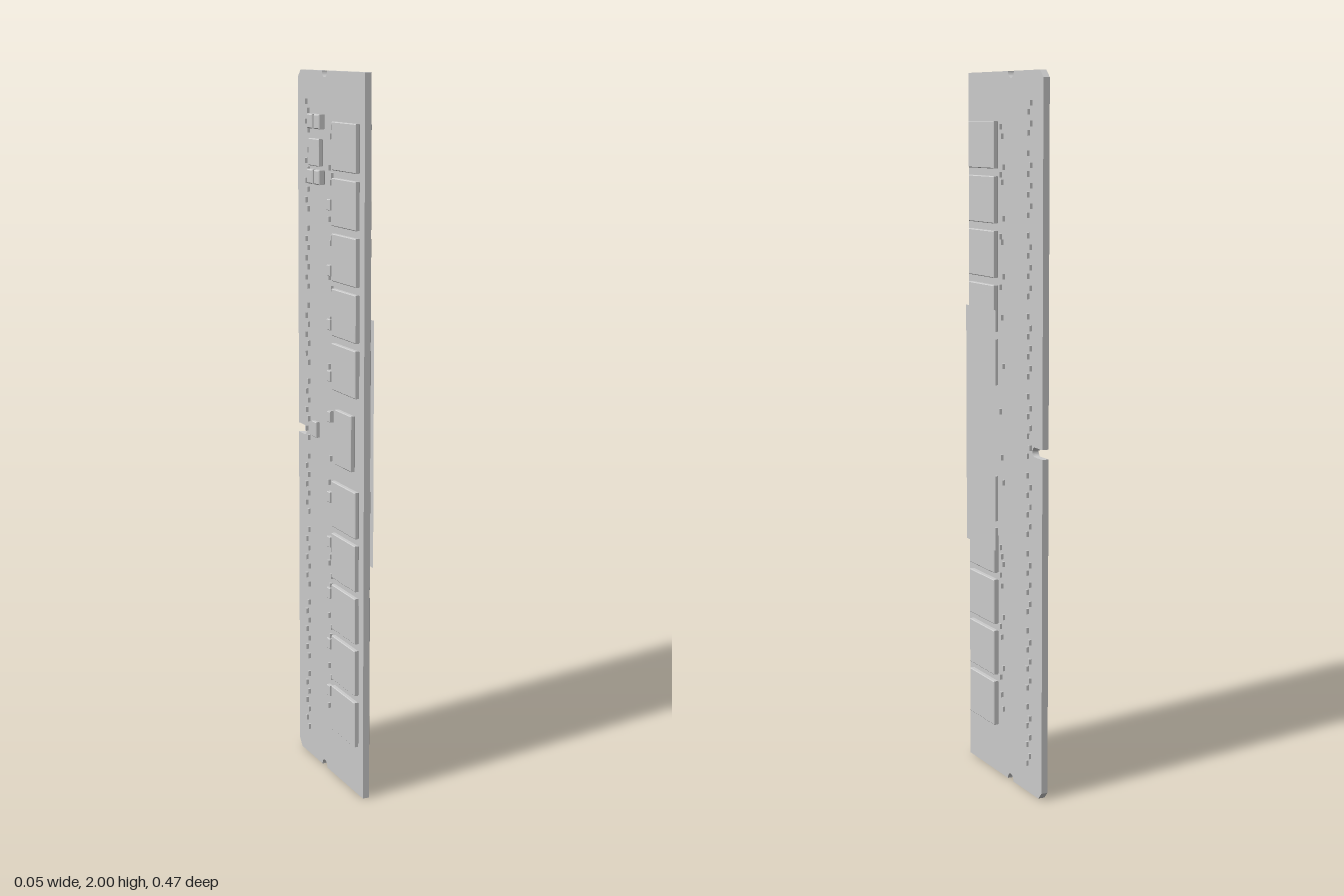
import * as THREE from 'three';

const FACE = { 1: 0.0107, '-1': -0.008 }; // x of the two board faces

export function createModel() {
  const model = new THREE.Group();
  const grey = new THREE.MeshStandardMaterial({ color: 0xcccccc, flatShading: true });
  const thin = new THREE.MeshStandardMaterial({ color: 0xcccccc, side: THREE.DoubleSide });

  function add(name, geometry, material = grey) {
    const mesh = new THREE.Mesh(geometry, material);
    mesh.name = name;
    model.add(mesh);
    return mesh;
  }

  // Package with chamfered edges, seated on one face of the board
  function chip(name, side, y, z, height, width, thick, b = 0.002) {
    const w = width / 2 - b, h = height / 2 - b;
    const s = new THREE.Shape();
    s.moveTo(-w, -h).lineTo(w, -h).lineTo(w, h).lineTo(-w, h).closePath();
    const g = new THREE.ExtrudeGeometry(s, {
      depth: thick - 2 * b, bevelThickness: b, bevelSize: b, bevelSegments: 1,
    });
    g.translate(0, 0, -(thick - 2 * b) / 2).rotateY(Math.PI / 2);
    add(name, g).position.set(FACE[side] + side * thick / 2, y, z);
  }

  // Tiny surface-mounted part
  function passive(name, side, y, z, height = 0.015, width = 0.008, thick = 0.0075) {
    add(name, new THREE.BoxGeometry(thick, height, width))
      .position.set(FACE[side] + side * thick / 2, y, z);
  }

  // Board outline, drawn with u = -z: chamfered contact corners, key slot, end notches
  const e = 0.235, c = 0.02, n = 0.04, r = 0.018, k = 0.975, kr = 0.0135;
  const outline = new THREE.Shape();
  outline.moveTo(-e, 0).lineTo(n - r, 0);
  outline.absarc(n, 0, r, Math.PI, 0, true);
  outline.lineTo(e - c, 0).lineTo(e, c).lineTo(e, k - kr).lineTo(0.189, k - kr);
  outline.absarc(0.189, k, kr, -Math.PI / 2, Math.PI / 2, true);
  outline.lineTo(e, k + kr).lineTo(e, 2 - c).lineTo(e - c, 2).lineTo(n + r, 2);
  outline.absarc(n, 2, r, 0, Math.PI, true);
  outline.lineTo(-e, 2).closePath();
  const board = new THREE.ExtrudeGeometry(outline, {
    depth: FACE[1] - FACE[-1], bevelEnabled: false, curveSegments: 12,
  });
  board.rotateY(Math.PI / 2).translate(FACE[-1], 0, 0);
  add('circuitBoard', board);

  // Memory chips: five below and five above the middle, on both faces
  for (const side of [1, -1]) {
    for (let i = 0; i < 5; i++) {
      const y = 0.207 + i * 0.15;
      chip('memoryChip', side, y, 0.122, 0.13, 0.164, side > 0 ? 0.0153 : 0.0135);
      chip('memoryChip', side, y + 0.99 + 0.001 * i, 0.122, 0.13, 0.164, side > 0 ? 0.0153 : 0.0135);
    }
  }
  chip('clockChip', -1, 1.002, 0.12, 0.155, 0.11, 0.0135);

  // Label lying across the middle chips
  const label = new THREE.PlaneGeometry(0.195, 0.685).rotateY(Math.PI / 2);
  add('label', label, thin).position.set(0.0272, 1.0025, 0.1225);

  // Power section: controller between two pairs of inductors
  chip('powerController', -1, 1.777, -0.088, 0.075, 0.075, 0.0135);
  for (const y of [1.71, 1.862]) {
    for (const z of [-0.103, -0.054]) chip('inductor', -1, y, z, 0.04, 0.037, 0.0198, 0.003);
  }
  chip('hubChip', -1, 0.995, -0.092, 0.045, 0.03, 0.0125);

  // Two staggered rows of resistors behind the contact edge
  for (const side of [1, -1]) {
    for (let i = 0; i < 34; i++) {
      const y = 0.085 + i * 0.0547;
      passive('contactResistor', side, y, -0.151);
      if (i % 4 !== 3) passive('contactResistor', side, y + 0.024, -0.167);
    }
  }

  // Capacitors beside the memory chips
  const capacitors = [0.2, 0.24, 0.29, 0.32, 0.41, 0.44, 0.47, 0.56, 0.59, 0.625, 0.645, 0.67,
    0.86, 0.93, 1.06, 1.19, 1.325, 1.41, 1.44, 1.535, 1.55, 1.6, 1.7, 1.72, 1.74, 1.825, 1.85];
  capacitors.forEach((y, i) => {
    const z = [0.001, 0.012, 0.02][i % 3];
    passive('capacitor', 1, y, z);
    passive('capacitor', -1, y, z);
  });
  for (const y of [0.25, 0.39, 0.54, 0.69, 0.82, 1.05, 1.165, 1.31, 1.46, 1.64]) {
    chip('largeCapacitor', -1, y, 0.014, 0.03, 0.022, 0.0125, 0.0015);
  }
  return model;
}
